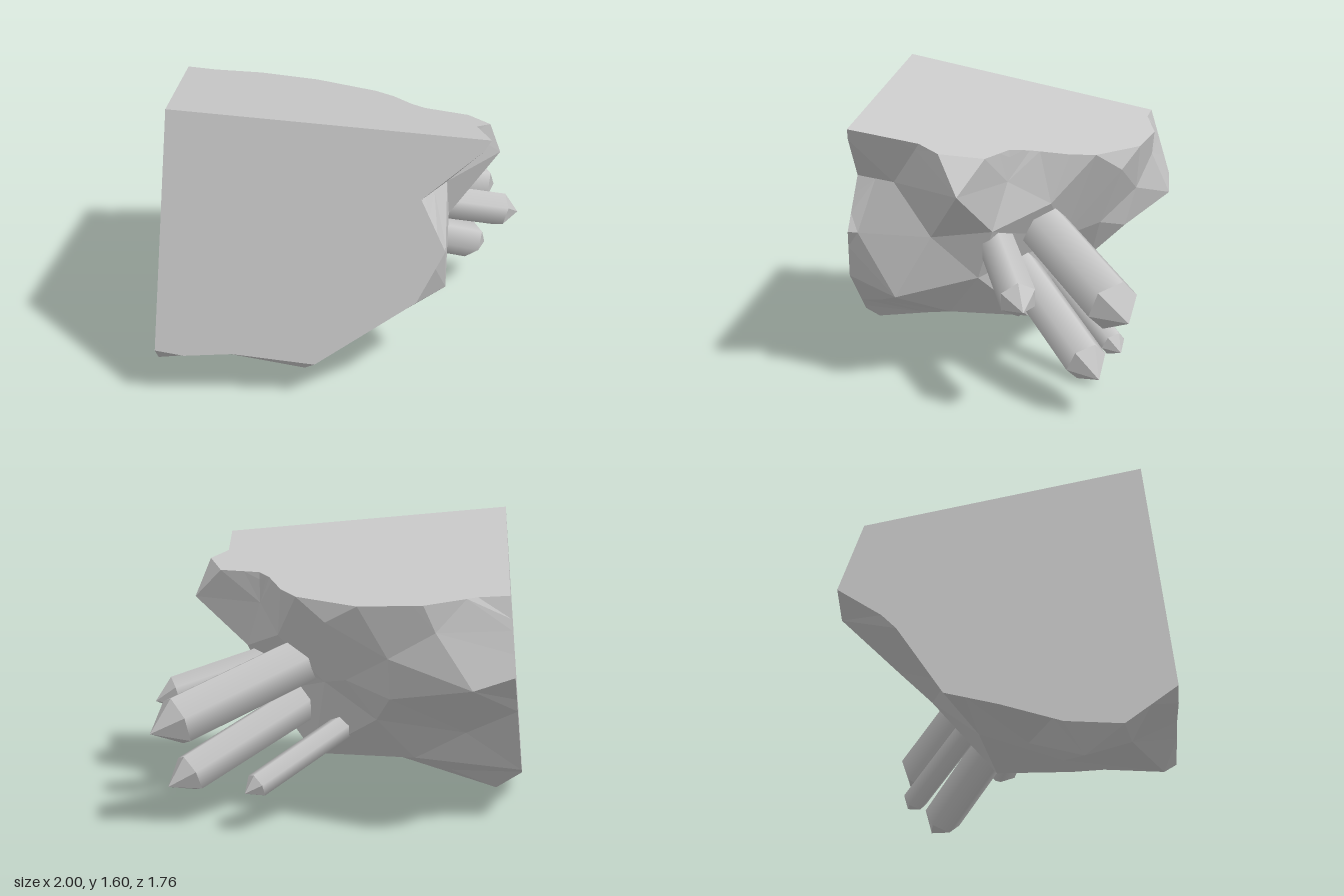
import * as THREE from 'three';
import { ConvexGeometry } from 'three/addons/geometries/ConvexGeometry.js';

const V = (x, y, z) => new THREE.Vector3(x, y, z);

// The three sawn planes of the block
const onTop = (x, z) => V(x, 1.6 - 0.078 * (x + 0.78) + 0.227 * (z - 0.73), z);
const onFront = (x, y) => V(x, y, 0.73 - 0.104 * (x + 0.78) - 0.108 * (y - 1.6));
const onLeft = (y, z) => V(-0.78 + 0.082 * (y - 1.6) + 0.108 * (z - 0.73), y, z);

const apex = V(-0.78, 1.6, 0.73);
const rightCorner = onTop(0.83, 0.58);
const backCorner = onTop(-0.96, -0.7);
const lowCorner = onFront(-0.87, 0.3);

// Outlines of the sawn faces
const topLoop = [apex, rightCorner,
  ...[[0.75, 0.23], [0.82, 0.11], [0.7, -0.1], [0.46, -0.17], [0.38, -0.26], [0.27, -0.45], [0.16, -0.57],
    [0, -0.65], [-0.2, -0.75], [-0.54, -0.78], [-0.8, -0.7]].map((p) => onTop(...p)), backCorner];
const frontLoop = [apex, rightCorner,
  ...[[0.79, 1.38], [0.49, 1.13], [0.62, 0.85], [0.48, 0.57], [-0.04, 0.22],
    [-0.47, 0.28], [-0.72, 0.27]].map((p) => onFront(...p)), lowCorner];
const leftLoop = [apex, backCorner,
  ...[[0.9, -0.81], [0.71, -0.53], [0.29, -0.25], [0.22, 0.02], [0.12, 0.33], [0.1, 0.62]].map((p) => onLeft(...p)),
  lowCorner];

// Corners of the broken, faceted side
const brokenPoints = [
  [0.61, 1.13, 0.41], [0.88, 1.13, 0], [0.62, 0.85, 0.21], [0.62, 0.85, 0.61], [0.62, 0.51, 0.41],
  [0.46, 1.13, -0.16], [0.55, 0.88, -0.1], [0.46, 0.6, 0], [0.3, 0.35, 0.2], [0.28, 0.38, 0.61],
  [0.15, 0.31, -0.2], [0.31, 0.99, -0.36], [0.05, 0.75, -0.38], [-0.02, 1.12, -0.68],
  [-0.1, 0.8, -0.55], [-0.35, 0.73, -0.65], [-0.35, 0.95, -0.71], [-0.6, 1.1, -0.76], [-0.8, 0.83, -0.84],
  [-0.25, 0.58, -0.48], [-0.7, 0.49, -0.3], [-0.41, 0.31, -0.19], [-0.57, 0.175, 0.1],
  [-0.2, 0.22, 0.22], [0.03, 0.245, 0.41], [-0.79, 0, 0.41], [-0.56, 0.15, 0.62], [-0.1, 0.16, 0.74],
  // points just behind the notches, which keep them sharp
  [0.51, 1.13, 0.61], [0.55, 1.13, 0.53], [0.73, 1.33, 0.257], [0.46, 1.26, -0.17],
].map((p) => V(...p));

// Outline cut into short steps, plus smaller copies of it that fill the flat face
function fillFace(loop) {
  const edge = [];
  loop.forEach((a, i) => {
    const b = loop[(i + 1) % loop.length];
    const steps = Math.ceil(a.distanceTo(b) / 0.06);
    for (let k = 0; k < steps; k++) edge.push(a.clone().lerp(b, k / steps));
  });
  const mid = edge.reduce((s, p) => s.add(p), V(0, 0, 0)).divideScalar(edge.length);
  const inner = [0.87, 0.6, 0.25].flatMap((s) => edge.filter((_, i) => s > 0.8 || i % 4 === 0)
    .map((p) => mid.clone().lerp(p, s)));
  return [...edge, ...inner];
}

// Joins points into a closed skin by wrapping their directions from a centre
function wrapSkin(points, centre) {
  const unique = points.filter((p, i) => points.findIndex((q) => q.distanceTo(p) < 0.01) === i);
  const dirs = unique.map((p) => p.clone().sub(centre).normalize());
  const pos = new ConvexGeometry(dirs).getAttribute('position');
  const out = [];
  const d = V(0, 0, 0);
  for (let i = 0; i < pos.count; i++) {
    d.fromBufferAttribute(pos, i);
    let best = 0;
    dirs.forEach((q, k) => { if (q.distanceToSquared(d) < dirs[best].distanceToSquared(d)) best = k; });
    out.push(...unique[best].toArray());
  }
  const geo = new THREE.BufferGeometry();
  geo.setAttribute('position', new THREE.Float32BufferAttribute(out, 3));
  geo.computeVertexNormals();
  return geo;
}

// Six-sided crystal with a pointed end, running from base to tip
function makeCrystal(base, tip, radius, point, material) {
  const group = new THREE.Group();
  const length = base.distanceTo(tip) - point;
  const shaft = new THREE.Mesh(
    new THREE.CylinderGeometry(radius, radius, length, 6, 1, true).translate(0, length / 2, 0), material);
  shaft.name = 'crystalShaft';
  const cone = new THREE.ConeGeometry(radius, point, 6, 1, true).translate(0, length + point / 2, 0).toNonIndexed();
  cone.computeVertexNormals();
  const end = new THREE.Mesh(cone, material);
  end.name = 'crystalPoint';
  group.add(shaft, end);
  group.position.copy(base);
  group.quaternion.setFromUnitVectors(V(0, 1, 0), tip.clone().sub(base).normalize());
  return group;
}

export function createModel() {
  const model = new THREE.Group();
  const stone = new THREE.MeshStandardMaterial({ color: 0xc8c8c8 });
  stone.name = 'grey stone';

  // Rock block
  const points = [...[topLoop, frontLoop, leftLoop].flatMap(fillFace), ...brokenPoints];
  const rock = new THREE.Mesh(wrapSkin(points, V(-0.25, 0.85, 0.1)), stone);
  rock.name = 'rock';
  model.add(rock);

  // Crystals growing from the broken side
  const crystals = [
    ['largeCrystal', V(0.16, 0.86, -0.25), V(0.86, 0.54, -0.87), 0.14, 0.16],
    ['lowerCrystal', V(0.2, 0.6, -0.16), V(0.82, 0.22, -0.72), 0.112, 0.14],
    ['sideCrystal', V(0.3, 0.83, -0.03), V(1, 0.6, -0.37), 0.1, 0.12],
    ['smallCrystal', V(-0.1, 0.54, -0.26), V(0.39, 0.22, -0.76), 0.07, 0.08],
  ];
  for (const [name, base, tip, radius, point] of crystals) {
    const crystal = makeCrystal(base, tip, radius, point, stone);
    crystal.name = name;
    model.add(crystal);
  }
  return model;
}
